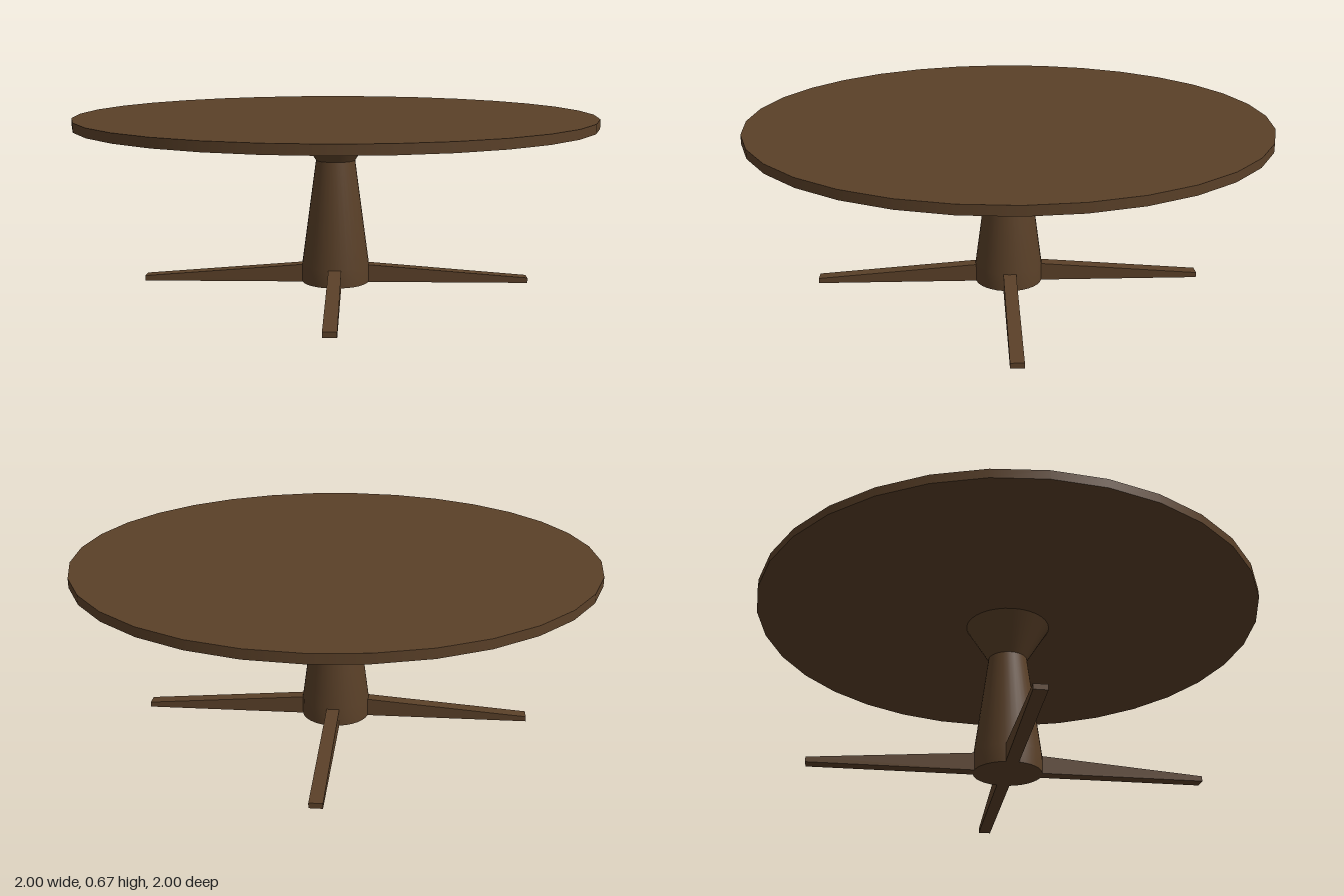
import * as THREE from 'three';
import { toCreasedNormals } from 'three/addons/utils/BufferGeometryUtils.js';

export function createModel() {
  const model = new THREE.Group();
  model.name = 'pedestalTable';
  const wood = new THREE.MeshStandardMaterial({ color: 0x5a4028 });

  const add = (name, geometry) => {
    const mesh = new THREE.Mesh(geometry, wood);
    mesh.name = name;
    model.add(mesh);
    return mesh;
  };

  // Round tabletop
  const topY = 0.63, topThickness = 0.035;
  add('tabletop', new THREE.CylinderGeometry(1, 1, topThickness, 32))
    .position.y = topY + topThickness / 2;

  // Column: short straight hub, tapered shaft, flared head under the top
  const profile = [[0, 0], [0.133, 0], [0.133, 0.07], [0.077, 0.485], [0.167, topY], [0, topY]]
    .map(([r, y]) => new THREE.Vector2(r, y));
  add('column', toCreasedNormals(new THREE.LatheGeometry(profile, 32), 0.35));

  // Four feet: a wedge side outline extruded across its width
  const footWidth = 0.05;
  const outline = new THREE.Shape([[0.1, 0], [0.76, 0], [0.76, 0.02], [0.13, 0.07], [0.1, 0.07]]
    .map(([x, y]) => new THREE.Vector2(x, y)));
  const footGeometry = new THREE.ExtrudeGeometry(outline, { depth: footWidth, bevelEnabled: false });
  footGeometry.translate(0, 0, -footWidth / 2);
  ['leftFoot', 'backFoot', 'rightFoot', 'frontFoot'].forEach((name, i) => {
    add(name, footGeometry).rotation.y = i * Math.PI / 2;
  });

  return model;
}
